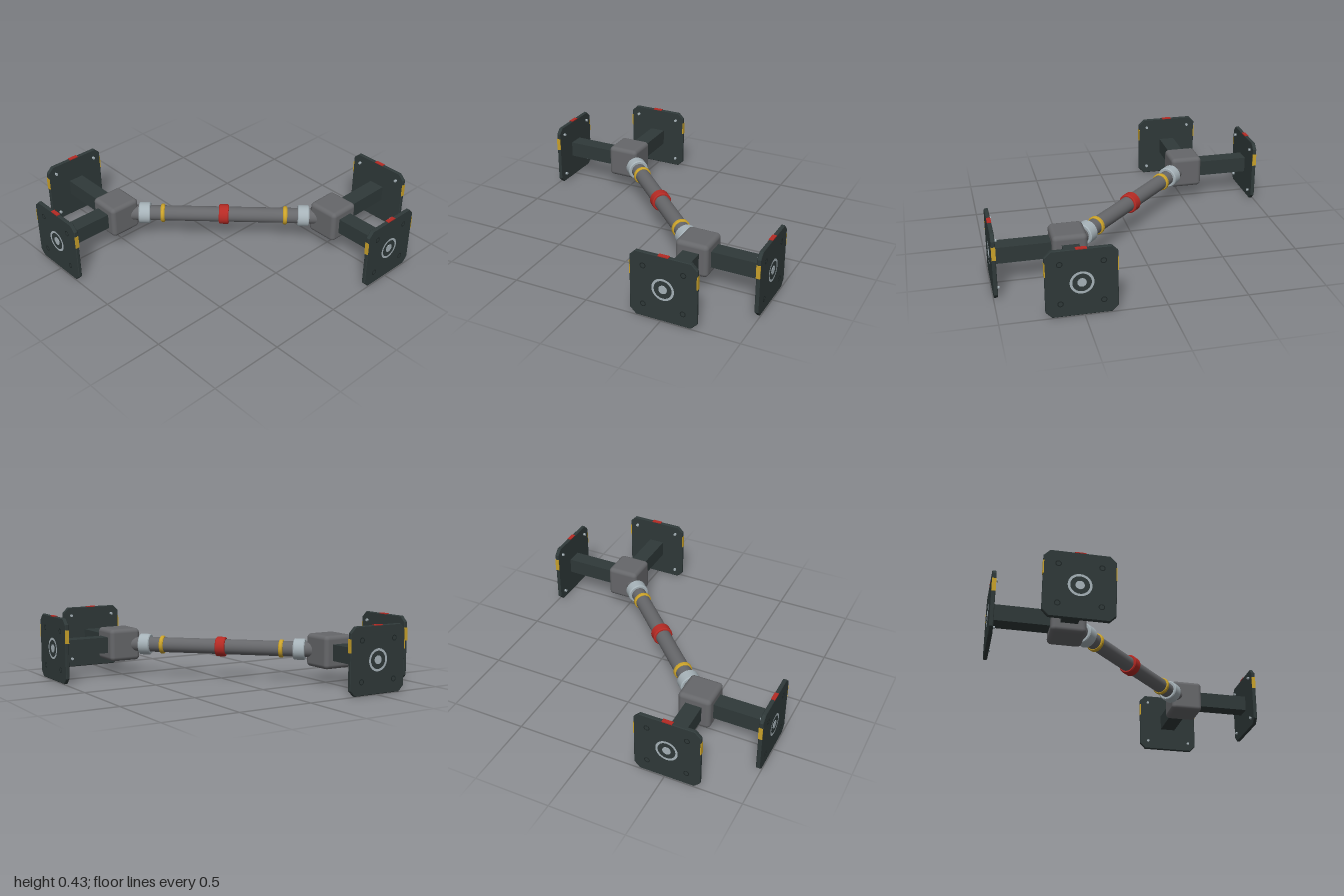
import * as THREE from 'three';
import { RoundedBoxGeometry } from 'three/addons/geometries/RoundedBoxGeometry.js';

const makeMaterial = (name, color) => {
  const m = new THREE.MeshStandardMaterial({ color });
  m.name = name;
  return m;
};

export function createModel() {
  const dark = makeMaterial('dark steel', 0x2f3939);
  const grey = makeMaterial('grey metal', 0x66676a);
  const light = makeMaterial('light metal', 0xa6b2b8);
  const red = makeMaterial('red paint', 0xb52a24);
  const yellow = makeMaterial('yellow paint', 0xcaa22a);
  const hole = makeMaterial('hole black', 0x1e2626);

  const CENTER_Y = 0.215, CORNER = 0.513;
  const add = (parent, name, geometry, material, x = 0, y = 0, z = 0) => {
    const mesh = new THREE.Mesh(geometry, material);
    mesh.name = name;
    mesh.position.set(x, y, z);
    parent.add(mesh);
    return mesh;
  };
  // Cylinder along z
  const rod = (r, length, sides = 32) => new THREE.CylinderGeometry(r, r, length, sides).rotateX(Math.PI / 2);

  // Flat square plate with cut corners and a small bevel
  const plateGeometry = () => {
    const bevel = 0.004, h = 0.215 - bevel, c = h - 0.036;
    const shape = new THREE.Shape(
      [[-c, -h], [c, -h], [h, -c], [h, c], [c, h], [-c, h], [-h, c], [-h, -c]]
        .map(([x, y]) => new THREE.Vector2(x, y)));
    return new THREE.ExtrudeGeometry(shape, {
      depth: 0.017, bevelEnabled: true, bevelSize: bevel, bevelThickness: bevel, bevelSegments: 1,
    }).translate(0, 0, bevel);
  };

  // Square beam ending in a docking plate, pointing along +z
  const createArm = () => {
    const arm = new THREE.Group();
    arm.name = 'arm';
    add(arm, 'beam', new THREE.BoxGeometry(0.107, 0.107, 0.39), dark, 0, 0, 0.27);
    const plate = new THREE.Group();
    plate.name = 'endPlate';
    plate.position.z = 0.459;
    arm.add(plate);
    add(plate, 'plate', plateGeometry(), dark);
    // Target ring and hub on the outer face
    add(plate, 'targetRing', new THREE.RingGeometry(0.057, 0.072, 40), light, 0, 0, 0.027);
    add(plate, 'targetHub', rod(0.027, 0.006), light, 0, 0, 0.025);
    // Edge markers
    add(plate, 'topMarker', new THREE.BoxGeometry(0.066, 0.006, 0.026), red, 0, 0.215, 0.0125);
    for (const sx of [-1, 1]) {
      add(plate, 'sideMarker', new THREE.BoxGeometry(0.006, 0.086, 0.026), yellow, sx * 0.214, 0.098, 0.0125);
      for (const sy of [-1, 1]) {
        add(plate, 'boltHoleRim', new THREE.RingGeometry(0.013, 0.019, 20), hole, sx * 0.128, sy * 0.128, 0.0262);
        add(plate, 'innerBolt', rod(0.01, 0.018, 6), light, sx * 0.157, sy * 0.157, -0.005);
      }
    }
    return arm;
  };

  const model = new THREE.Group();
  model.name = 'diagonalConnector';

  // Corner hubs, each carrying two arms at right angles
  for (const turn of [0, Math.PI]) {
    const end = new THREE.Group();
    end.name = 'endAssembly';
    end.rotation.y = turn;
    model.add(end);
    const corner = new THREE.Group();
    corner.name = 'cornerHub';
    corner.position.set(CORNER, CENTER_Y, CORNER);
    end.add(corner);
    add(corner, 'hubBlock', new RoundedBoxGeometry(0.218, 0.218, 0.218, 4, 0.028), grey);
    for (const side of [0, Math.PI / 2]) {
      const arm = createArm();
      arm.rotation.y = side;
      corner.add(arm);
    }
  }

  // Diagonal pipe and its bands
  const pipe = new THREE.Group();
  pipe.name = 'diagonalPipe';
  pipe.position.y = CENTER_Y;
  pipe.rotation.y = Math.PI / 4;
  model.add(pipe);
  add(pipe, 'pipe', rod(0.051, 1.4), grey);

  // Band with softened rims
  const band = (r, length) => {
    const h = length / 2, b = 0.006;
    return new THREE.LatheGeometry(
      [[0.045, -h], [r - b, -h], [r - b, -h], [r, -h + b], [r, -h + b], [r, h - b], [r, h - b], [r - b, h], [r - b, h], [0.045, h]]
        .map(([x, y]) => new THREE.Vector2(x, y)), 32).rotateX(Math.PI / 2);
  };
  add(pipe, 'centreBand', band(0.066, 0.066), red);
  for (const s of [-1, 1]) {
    add(pipe, 'collar', band(0.071, 0.076), light, 0, 0, s * 0.532);
    add(pipe, 'warningBand', band(0.061, 0.028), yellow, 0, 0, s * 0.41);
  }
  return model;
}
